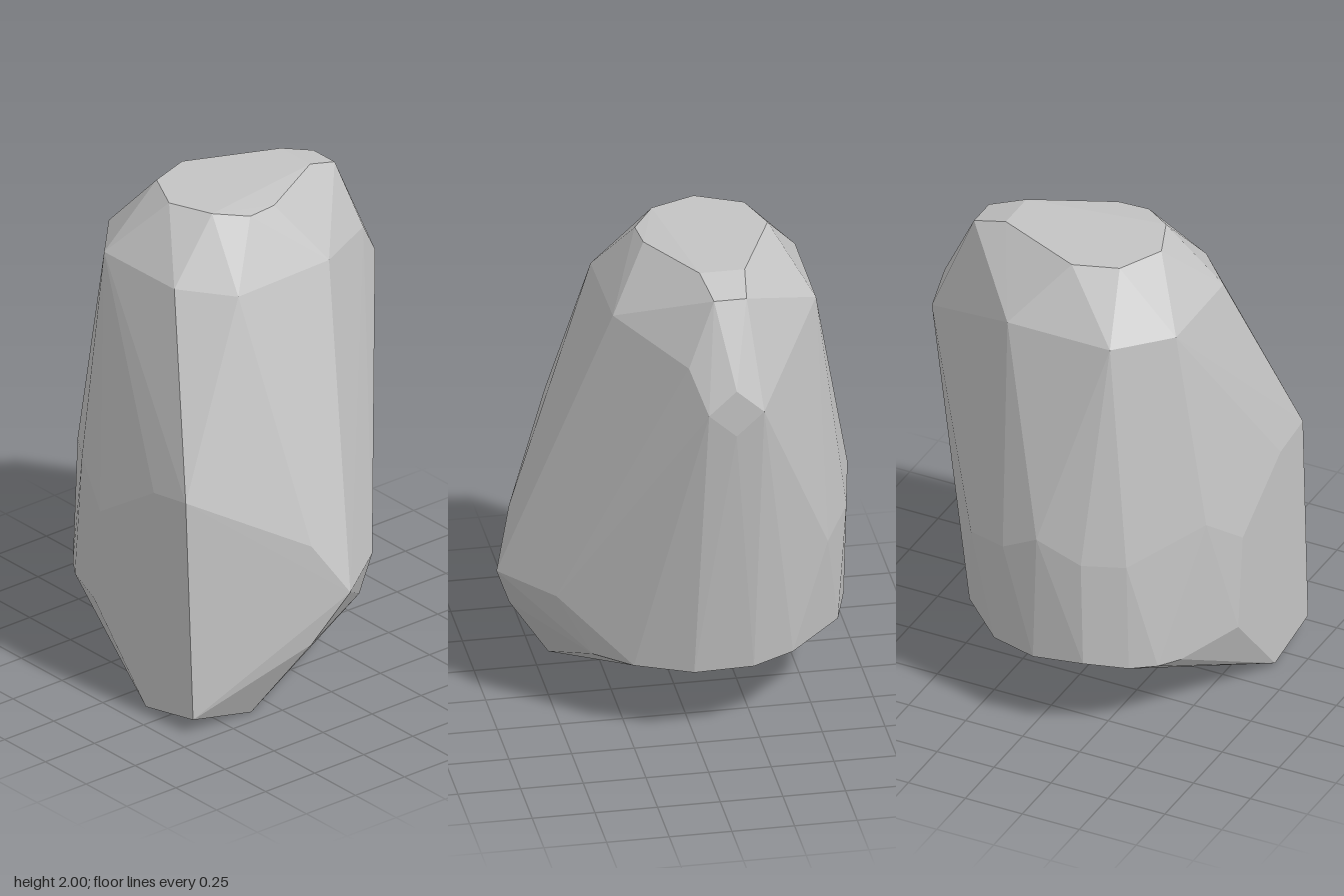
import * as THREE from 'three';
import { ConvexGeometry } from 'three/addons/geometries/ConvexGeometry.js';

// Rings of corner points [x, y, z], from the ground up
const foot = [[0.15, 0.01, 0.655], [0.44, 0.065, 0.655], [0.435, 0, 0.355], [0.22, 0, 0.59]];

const lowerRim = [
  [0.62, 0.32, 0.2], [0.37, 0.3, -0.25], [0.23, 0.305, -0.385], [0.01, 0.31, -0.495],
  [-0.23, 0.31, -0.485], [-0.4, 0.32, -0.41], [-0.62, 0.33, -0.19], [-0.68, 0.335, 0.01],
  [-0.68, 0.365, 0.23], [-0.59, 0.335, 0.385], [-0.515, 0.33, 0.475], [-0.43, 0.33, 0.535],
  [-0.17, 0.365, 0.655],
];

const waist = [
  [0.395, 1, 0.655], [0.2, 0.97, 0.655], [-0.13, 0.76, 0.655], [-0.32, 0.91, 0.59],
  [-0.6, 0.81, 0.38], [-0.68, 0.82, 0.22], [-0.7, 0.9, 0.035], [-0.665, 0.8, -0.13],
  [-0.555, 0.75, -0.325], [0.505, 0.545, -0.205], [0.695, 0.535, 0.065], [0.62, 0.75, 0.2],
];

const shoulder = [
  [0.09, 1.76, 0.46], [-0.335, 1.76, 0.465], [-0.535, 1.76, 0.275], [-0.535, 1.76, -0.175],
  [-0.24, 1.53, -0.655], [-0.13, 1.43, -0.655], [-0.13, 1.63, -0.655], [-0.02, 1.53, -0.655],
  [0.04, 1.69, -0.545], [0.275, 1.755, -0.175], [0.278, 1.745, 0.29],
];

const crown = [
  [0.045, 2, 0.23], [-0.135, 2, 0.3], [-0.32, 2, 0.21], [-0.38, 2, 0.03],
  [-0.22, 2, -0.34], [-0.2, 1.95, -0.49], [-0.07, 1.95, -0.49],
  [-0.04, 2, -0.34], [0.125, 1.987, -0.02], [0.135, 1.985, 0.11],
];

export function createModel() {
  const group = new THREE.Group();
  group.name = 'rock';
  const stone = new THREE.MeshStandardMaterial({ color: 0xc4c4c4 });
  stone.name = 'stone grey';

  // Faceted boulder: the convex shell around all rings
  const points = [foot, lowerRim, waist, shoulder, crown].flat()
    .map(([x, y, z]) => new THREE.Vector3(x, y, z));
  const boulder = new THREE.Mesh(new ConvexGeometry(points), stone);
  boulder.name = 'boulder';
  group.add(boulder);
  return group;
}
